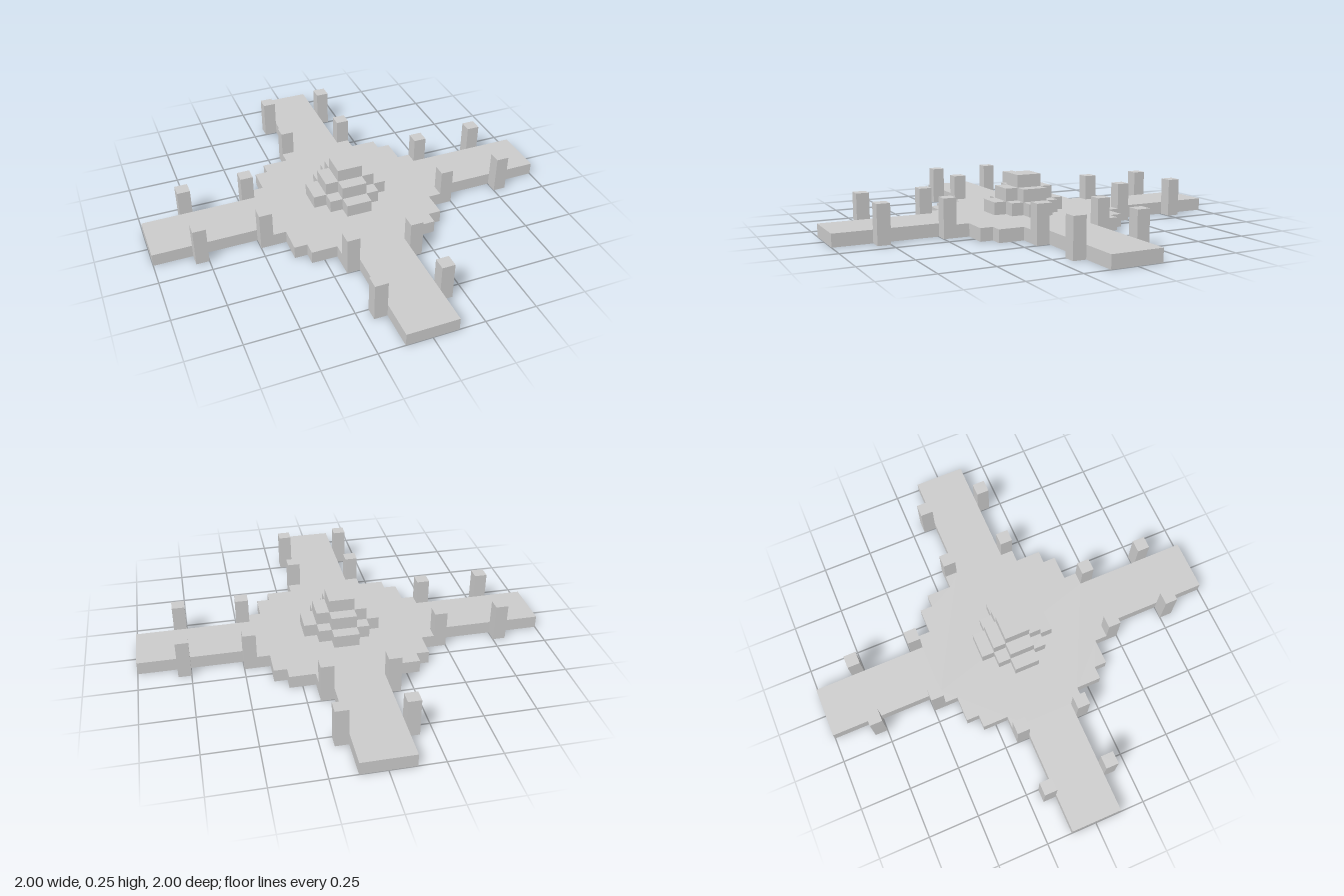
import * as THREE from 'three';

const U = 1 / 16; // one grid block
const material = new THREE.MeshStandardMaterial({ color: 0xcccccc, flatShading: true });

// Flat slab whose stepped outline repeats a quarter four times around the centre
function steppedSlab(name, quarter, bottom, height) {
  const outline = [];
  for (let turn = 0; turn < 4; turn++) {
    for (const [x, y] of quarter) {
      const p = [[x, y], [-y, x], [-x, -y], [y, -x]][turn];
      outline.push(new THREE.Vector2(p[0] * U, p[1] * U));
    }
  }
  const geometry = new THREE.ExtrudeGeometry(new THREE.Shape(outline), {
    depth: height * U, bevelEnabled: false,
  });
  geometry.rotateX(-Math.PI / 2);
  const mesh = new THREE.Mesh(geometry, material);
  mesh.name = name;
  mesh.position.y = bottom * U;
  return mesh;
}

export function createModel() {
  const model = new THREE.Group();
  model.name = 'crossPlatform';

  // Floor: round blocky plaza with four straight walkways
  model.add(steppedSlab('floor', [
    [16, 2], [7, 2], [7, 3], [6, 3], [6, 5], [5, 5],
    [5, 6], [3, 6], [3, 7], [2, 7], [2, 16],
  ], 0, 1));

  // Central mound in three shrinking tiers
  const tiers = [
    [[3, 1], [2, 1], [2, 2], [1, 2], [1, 3]],
    [[2, 1], [1, 1], [1, 2]],
    [[1, 1]],
  ];
  tiers.forEach((quarter, i) => model.add(steppedSlab('moundTier' + (i + 1), quarter, i + 1, 1)));

  // Pairs of posts flanking each walkway
  const postGeometry = new THREE.BoxGeometry(U, 3 * U, U);
  for (let arm = 0; arm < 4; arm++) {
    const posts = new THREE.Group();
    posts.name = 'walkwayPosts';
    posts.rotation.y = arm * Math.PI / 2;
    for (const along of [7.5, 12.5]) {
      for (const side of [-1, 1]) {
        const post = new THREE.Mesh(postGeometry, material);
        post.name = 'post';
        post.position.set(along * U, 1.5 * U, side * 2.5 * U);
        posts.add(post);
      }
    }
    model.add(posts);
  }
  return model;
}
